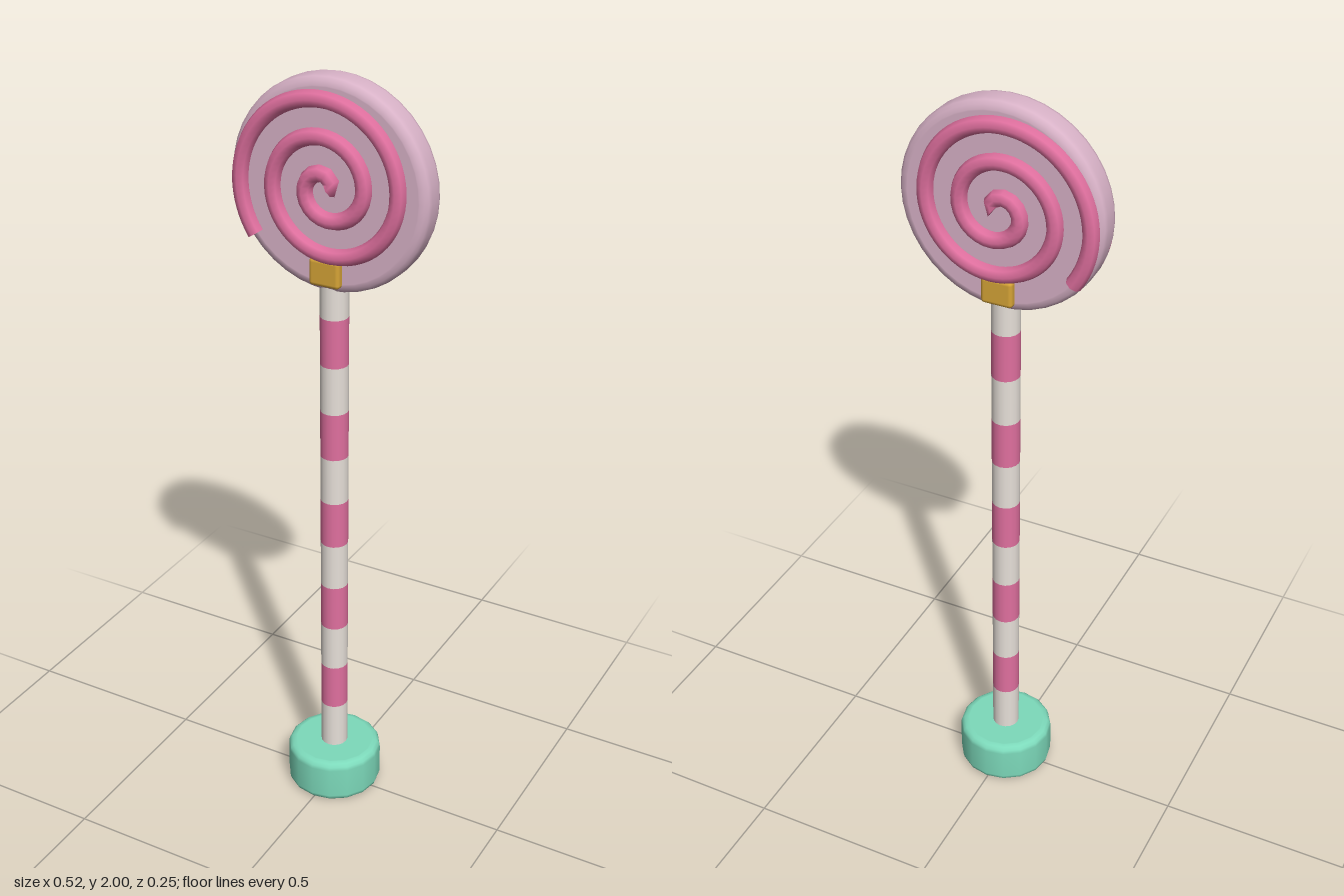
import * as THREE from 'three';
import { RoundedBoxGeometry } from 'three/addons/geometries/RoundedBoxGeometry.js';

const material = (name, color) => {
  const m = new THREE.MeshStandardMaterial({ color });
  m.name = name;
  return m;
};

// Solid disc with filleted rims, centred on the origin, axis along y
function filletedDisc(radius, height, fillet, sides, steps) {
  const h = height / 2, inner = radius - fillet;
  const pts = [new THREE.Vector2(0, -h), new THREE.Vector2(inner - 0.003, -h)];
  for (const [start, cy] of [[-Math.PI / 2, fillet - h], [0, h - fillet]]) {
    for (let i = 0; i <= steps; i++) {
      const a = start + (i / steps) * Math.PI / 2;
      pts.push(new THREE.Vector2(inner + fillet * Math.cos(a), cy + fillet * Math.sin(a)));
    }
  }
  pts.push(new THREE.Vector2(inner - 0.003, h), new THREE.Vector2(0, h));
  return new THREE.LatheGeometry(pts, sides);
}

// Flat spiral with its tail at the lower left
class Spiral extends THREE.Curve {
  constructor(z) {
    super();
    this.z = z;
  }
  getPoint(t, target = new THREE.Vector3()) {
    const a = THREE.MathUtils.degToRad(937 * t);
    const r = 0.01 + 0.229 * t;
    return target.set(r * Math.cos(a), r * Math.sin(a), this.z);
  }
}

export function createModel() {
  const group = new THREE.Group();
  const pink = material('pink', 0xe0709f);
  const cream = material('cream', 0xe8e1da);
  const lilac = material('pale lilac', 0xd8b2c7);
  const gold = material('gold', 0xd6a437);
  const mint = material('mint', 0x7ddabb);

  const add = (name, geometry, mat, y, parent = group) => {
    const mesh = new THREE.Mesh(geometry, mat);
    mesh.name = name;
    mesh.position.y = y;
    parent.add(mesh);
    return mesh;
  };

  // Round foot
  add('base', filletedDisc(0.127, 0.125, 0.02, 16, 3), mint, 0.0645);

  // Striped stick
  const stick = new THREE.Group();
  stick.name = 'stick';
  group.add(stick);
  const step = 0.1275;
  for (let i = 0; i < 11; i++) {
    const bottom = 0.13 + i * step - (i === 0 ? 0.05 : 0);
    const top = i === 10 ? 1.52 : 0.13 + (i + 1) * step;
    add(`stripe${i + 1}`, new THREE.CylinderGeometry(0.036, 0.036, top - bottom, 16),
      i % 2 ? pink : cream, (bottom + top) / 2, stick);
  }

  // Collar joining stick and candy
  add('collar', new RoundedBoxGeometry(0.082, 0.07, 0.112, 2, 0.01), gold, 1.532);

  // Candy disc facing front
  add('candyDisc', filletedDisc(0.261, 0.077, 0.022, 40, 3).rotateX(Math.PI / 2), lilac, 1.739);

  // Raised swirl on both faces, with capped ends
  for (const [name, z] of [['frontSwirl', 0.041], ['backSwirl', -0.041]]) {
    const curve = new Spiral(z);
    const swirl = add(name, new THREE.TubeGeometry(curve, 110, 0.021, 8), pink, 1.739);
    for (const t of [0, 1]) {
      const cap = new THREE.CircleGeometry(0.021, 8);
      const mesh = add('swirlEnd', cap, pink, 0, swirl);
      mesh.position.copy(curve.getPoint(t));
      const out = curve.getTangent(t).multiplyScalar(t ? 1 : -1);
      mesh.quaternion.setFromUnitVectors(new THREE.Vector3(0, 0, 1), out);
    }
  }
  return group;
}
